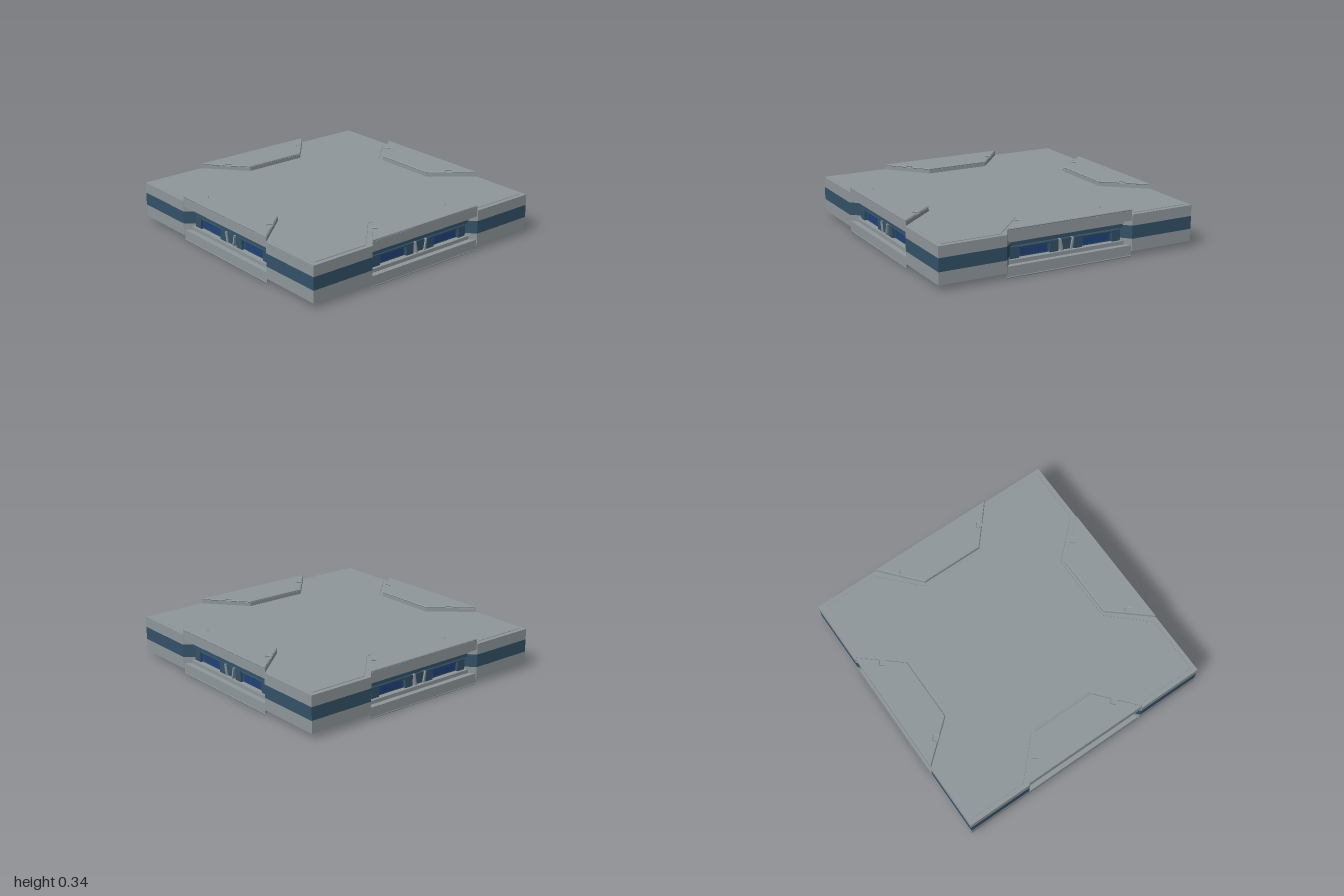
import * as THREE from 'three';

const grey = new THREE.MeshStandardMaterial({ color: 0x8f979b });
grey.name = 'panel grey';
const slate = new THREE.MeshStandardMaterial({ color: 0x335167 });
slate.name = 'slate blue';
const bright = new THREE.MeshStandardMaterial({ color: 0x1f4179 });
bright.name = 'bright blue';
const H = 0.345; // total height

// Horizontal slab from [x, z] points, with optional chamfered rims
function slab(name, points, y0, y1, material, bevel = 0) {
  const shape = new THREE.Shape(points.map(([x, z]) => new THREE.Vector2(x, -z)));
  const geometry = new THREE.ExtrudeGeometry(shape, {
    depth: y1 - y0 - 2 * bevel, bevelEnabled: bevel > 0, bevelSegments: 1,
    bevelThickness: bevel, bevelSize: bevel, bevelOffset: -bevel,
  });
  geometry.rotateX(-Math.PI / 2).translate(0, y0 + bevel, 0);
  const mesh = new THREE.Mesh(geometry, material);
  mesh.name = name;
  return mesh;
}

function box(name, x0, x1, y0, y1, z0, z1, material) {
  const mesh = new THREE.Mesh(new THREE.BoxGeometry(x1 - x0, y1 - y0, z1 - z0), material);
  mesh.position.set((x0 + x1) / 2, (y0 + y1) / 2, (z0 + z1) / 2);
  mesh.name = name;
  return mesh;
}

// Square with a trapezoid notch in the middle of each side
function notchedSquare(e, a, b, d) {
  const side = [[e, e], [a, e], [b, d], [-b, d], [-a, e]];
  const points = [];
  for (let k = 0; k < 4; k++) {
    for (let [x, z] of side) {
      for (let i = 0; i < k; i++) [x, z] = [-z, x];
      points.push([x, z]);
    }
  }
  return points;
}

// Trapezoid hatch plate; optionally with a small slot in each slanted edge
function platePoints(slots) {
  const half = [[0.495, 0.995]];
  if (slots) {
    const t = [-0.652, -0.758], n = [-0.758, 0.652];
    for (const [along, depth] of [[0.185, 0], [0.185, 0.038], [0.225, 0.038], [0.225, 0]]) {
      half.push([0.495 + t[0] * along + n[0] * depth, 0.995 + t[1] * along + n[1] * depth]);
    }
  }
  half.push([0.245, 0.705]);
  return [...half, ...half.map(([x, z]) => [-x, z]).reverse()];
}

// Hatch plates and the machinery recess between them, on the front side
function createPort() {
  const port = new THREE.Group();
  port.name = 'port';

  // Plates and stepped ledges, mirrored above and below
  for (const top of [true, false]) {
    const span = (y0, y1) => (top ? [y0, y1] : [H - y1, H - y0]);
    const label = top ? 'upper' : 'lower';
    port.add(slab(label + 'PlateBase', platePoints(false), ...span(0.262, 0.334), grey));
    port.add(slab(label + 'PlateCover', platePoints(true), ...span(0.334, H), grey, 0.005));
    port.add(box(label + 'Ledge', -0.465, 0.465, ...span(0.235, 0.264), 0.86, 0.955, grey));
  }

  // Recess back wall and lintel
  port.add(slab('recessWall', [[0.41, 0.88], [0.26, 0.69], [-0.26, 0.69], [-0.41, 0.88]],
    0.07, 0.275, slate));
  port.add(box('lintel', -0.465, 0.465, 0.205, 0.235, 0.86, 0.945, slate));

  for (const s of [-1, 1]) {
    // Framed units with a bright window
    const unit = new THREE.Group();
    unit.name = 'unit';
    unit.position.x = s * 0.25;
    unit.add(box('unitBody', -0.19, 0.19, 0.11, 0.185, 0.87, 0.915, slate));
    unit.add(box('window', -0.105, 0.105, 0.12, 0.17, 0.912, 0.92, bright));
    for (const e of [-1, 1]) {
      const post = box('post', -0.033, 0.033, 0.11, 0.192, 0.88, 0.935, slate);
      post.position.x = e * 0.155;
      unit.add(post);
    }
    const rod = new THREE.Mesh(new THREE.CylinderGeometry(0.011, 0.011, 0.36, 12), slate);
    rod.name = 'rod';
    rod.rotation.z = Math.PI / 2;
    rod.position.set(0, 0.184, 0.92);
    unit.add(rod);
    port.add(unit);

    // Slanted struts beside the centre wedge
    const strut = box('strut', -0.006, 0.006, 0.11, 0.195, 0.87, 0.945, grey);
    strut.position.x = s * 0.043;
    strut.rotation.z = -s * 0.2;
    port.add(strut);
  }

  // Centre wedge, wider at the top
  const wedge = new THREE.Shape([[-0.028, 0.115], [0.028, 0.115], [0.042, 0.192], [-0.042, 0.192]]
    .map(([x, y]) => new THREE.Vector2(x, y)));
  const wedgeMesh = new THREE.Mesh(
    new THREE.ExtrudeGeometry(wedge, { depth: 0.065, bevelEnabled: false }), slate);
  wedgeMesh.position.z = 0.87;
  wedgeMesh.name = 'centreWedge';
  port.add(wedgeMesh);
  return port;
}

export function createModel() {
  const model = new THREE.Group();
  model.name = 'squarePlatform';

  // Layered body, closing tightly around the plates
  const outline = notchedSquare(1, 0.497, 0.243, 0.707);
  model.add(slab('lowerBody', outline, 0.039, 0.13, grey));
  model.add(slab('stripe', outline, 0.13, 0.225, slate));
  model.add(slab('upperBody', outline, 0.225, 0.306, grey));

  // Slightly raised inset panels
  const inset = notchedSquare(0.965, 0.525, 0.26, 0.685);
  model.add(slab('topPanel', inset, 0.304, 0.311, grey, 0.002));
  model.add(slab('bottomPanel', inset, 0.034, 0.041, grey, 0.002));

  // One port on each side
  for (let k = 0; k < 4; k++) {
    const port = createPort();
    port.rotation.y = k * Math.PI / 2;
    model.add(port);
  }
  return model;
}
